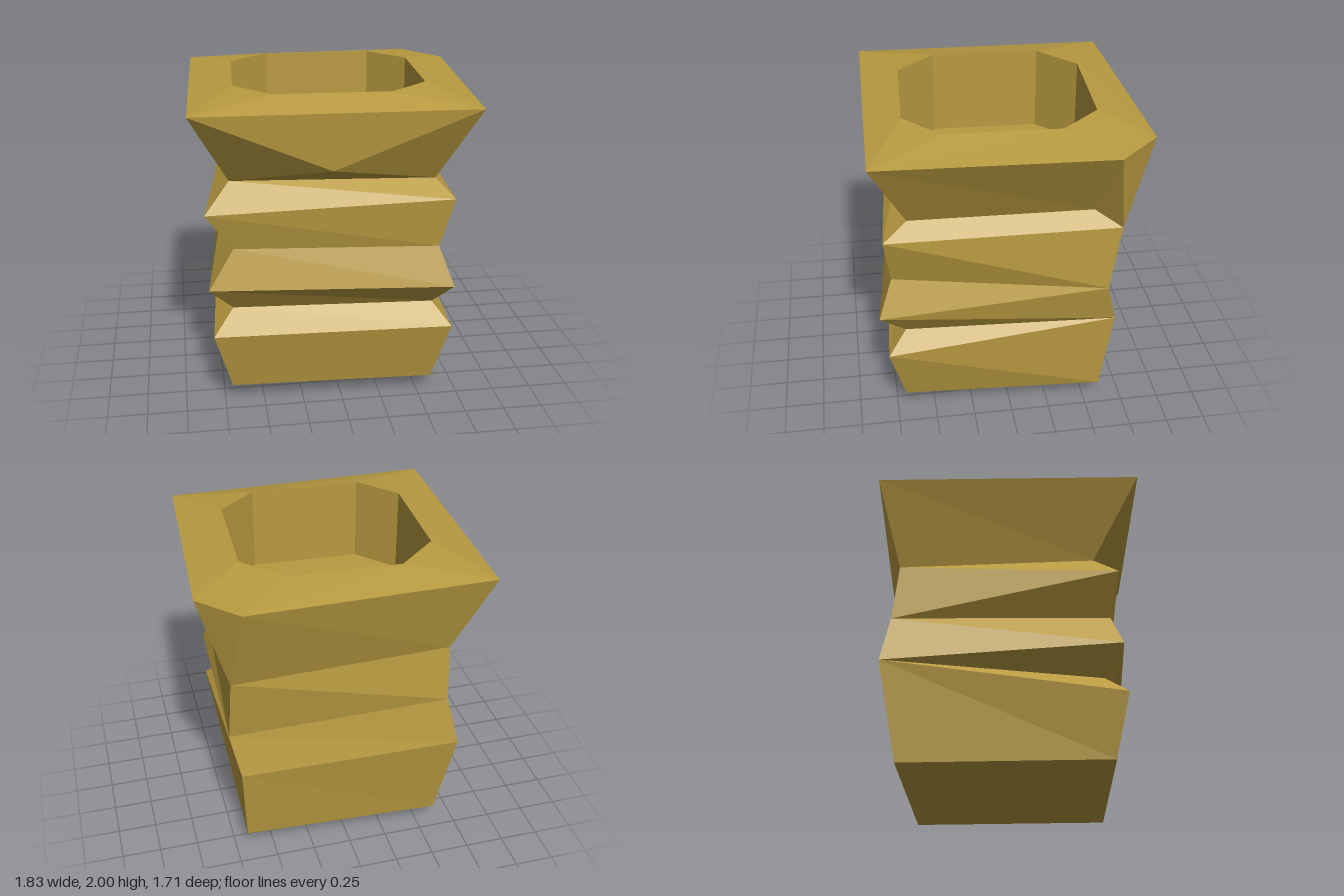
import * as THREE from 'three';

// Corner columns of the faceted body, bottom to top
const FL = [[-.70, .10, .64], [-.81, .49, .72], [-.68, .63, .59], [-.83, .80, .70], [-.67, 1.05, .645], [-.84, 1.29, .69], [-.68, 1.46, .55], [-.92, 1.94, .83]];
const FR = [[.59, .10, .69], [.69, .50, .79], [.585, .63, .67], [.685, .795, .835], [.60, 1.04, .745], [.685, 1.355, .785], [.59, 1.45, .63], [.82, 1.93, .85]];
const BR = [[.67, .10, -.605], [.70, .66, -.68], [.755, .94, -.61], [.74, 1.375, -.68], [.64, 1.46, -.52], [.91, 1.94, -.60]];
const BL = [[-.62, .10, -.67], [-.71, .73, -.785], [-.64, 1.05, -.73], [-.64, 1.42, -.69], [-.86, 1.94, -.83]];
const chamfer = [.68, 1.95, -.86]; // second rim point of the cut back corner
const bulge = [-.07, 1.57, .79]; // point in the middle of the front collar

// Opening outline (x, z), counterclockwise seen from above
const opening = [[-.63, .34], [-.41, .59], [.31, .62], [.56, .40], [.59, -.32], [.37, -.57], [-.34, -.60], [-.60, -.37]];

// Triangles joining two columns; pairs lists which points are linked (a left, b right)
function strip(a, b, pairs) {
  const tris = [];
  for (let k = 0; k + 1 < pairs.length; k++) {
    const [i, j] = pairs[k], [m, n] = pairs[k + 1];
    if (m !== i) tris.push([a[i], b[j], a[m]]);
    if (n !== j) tris.push([b[j], b[n], a[m]]);
  }
  return tris;
}

function part(name, tris, material) {
  const g = new THREE.BufferGeometry();
  g.setAttribute('position', new THREE.Float32BufferAttribute(tris.flat(2), 3));
  g.computeVertexNormals();
  const mesh = new THREE.Mesh(g, material);
  mesh.name = name;
  return mesh;
}

export function createModel() {
  const group = new THREE.Group();
  group.name = 'facetedPot';
  const gold = new THREE.MeshStandardMaterial({ color: 0xb89a40, flatShading: true });

  // Folded walls
  const front = strip(FL, FR, [0, 1, 2, 3, 4, 5, 6].map(i => [i, i]));
  const ring = [FL[6], FR[6], FR[7], FL[7]];
  ring.forEach((p, i) => front.push([p, ring[(i + 1) % 4], bulge]));
  group.add(part('frontWall', front, gold));

  const right = strip(FR, BR, [[0, 0], [1, 1], [2, 1], [3, 1], [3, 2], [4, 2], [5, 3], [6, 4], [7, 5]]);
  group.add(part('rightWall', right, gold));

  const backColumn = [...BR.slice(0, 4), chamfer];
  group.add(part('backWall', strip(backColumn, BL, [0, 1, 2, 3, 4].map(i => [i, i])), gold));

  const left = strip(BL, FL, [[0, 0], [1, 1], [1, 2], [1, 3], [2, 3], [2, 4], [2, 5], [3, 5], [3, 6], [4, 7]]);
  group.add(part('leftWall', left, gold));

  // Cut corner below the rim
  group.add(part('cutCorner', [[BR[5], BR[3], chamfer], [BR[5], BR[4], BR[3]]], gold));

  // Shallow pointed underside
  const tip = [-.03, 0, .02];
  const base = [FL[0], FR[0], BR[0], BL[0]];
  group.add(part('underside', base.map((p, i) => [tip, base[(i + 1) % 4], p]), gold));

  // Sloped rim between the outer edge and the opening
  const inner = opening.map(([x, z]) => [x, 2, z]);
  const outer = [FL[7], FR[7], BR[5], chamfer, BL[4]];
  inner.push(inner[0]);
  outer.push(outer[0]);
  const links = [[0, 0], [1, 0], [2, 1], [3, 1], [4, 2], [5, 3], [6, 4], [7, 4], [8, 5]];
  group.add(part('rim', strip(inner, outer, links), gold));

  // Straight-sided hollow and its floor
  const floor = inner.map(([x, , z]) => [x, 1.445, z]);
  group.add(part('hollowWall', strip(floor, inner, floor.map((_, i) => [i, i])), gold));
  const fan = [];
  for (let i = 1; i < 7; i++) fan.push([floor[0], floor[i], floor[i + 1]]);
  group.add(part('hollowFloor', fan, gold));

  return group;
}
